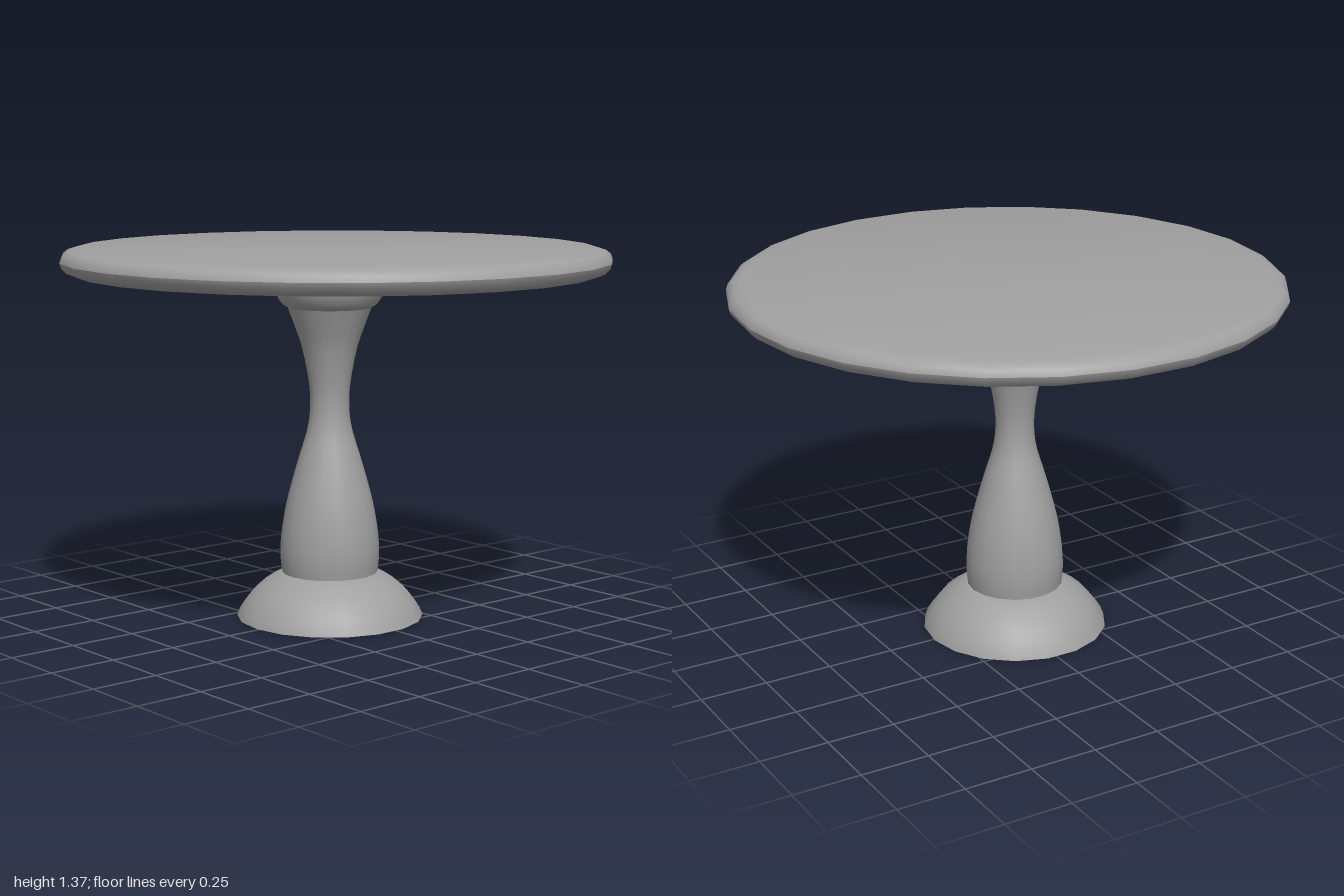
import * as THREE from 'three';
import { toCreasedNormals } from 'three/addons/utils/BufferGeometryUtils.js';

const material = new THREE.MeshStandardMaterial({ color: 0xa0a0a0 });

// Turned part from [radius, height] pairs, listed bottom to top
function turned(name, profile, sides) {
  const points = profile.map(([r, y]) => new THREE.Vector2(r, y));
  const lathe = new THREE.LatheGeometry(points, sides, Math.PI / 2);
  const mesh = new THREE.Mesh(toCreasedNormals(lathe, 0.62), material);
  mesh.name = name;
  return mesh;
}

export function createModel() {
  const table = new THREE.Group();
  table.name = 'pedestalTable';

  // Round top with a softened rim
  table.add(turned('tableTop', [
    [0, 1.273], [0.945, 1.273], [0.975, 1.284], [0.994, 1.303], [1, 1.321],
    [0.993, 1.342], [0.975, 1.356], [0.945, 1.365], [0, 1.365],
  ], 26));

  // Pedestal, standing slightly off the centre of the top
  const pedestal = new THREE.Group();
  pedestal.name = 'pedestal';
  pedestal.position.set(-0.024, 0, -0.009);
  table.add(pedestal);

  // Domed foot
  pedestal.add(turned('foot', [
    [0, 0], [0.345, 0], [0.333, 0.028], [0.315, 0.056], [0.289, 0.09],
    [0.252, 0.122], [0.215, 0.147], [0.177, 0.167], [0, 0.167],
  ], 18));

  // Waisted column, smoothed through a few radii
  const waist = new THREE.SplineCurve([
    [0.177, 0.165], [0.183, 0.23], [0.179, 0.31], [0.163, 0.41], [0.138, 0.51],
    [0.109, 0.61], [0.082, 0.7], [0.072, 0.78], [0.076, 0.87], [0.101, 1.0],
    [0.13, 1.085], [0.155, 1.152],
  ].map(([r, y]) => new THREE.Vector2(r, y)));
  pedestal.add(turned('column', waist.getPoints(28).map((p) => [p.x, p.y]), 18));

  // Cup-shaped collar under the top
  pedestal.add(turned('collar', [
    [0, 1.147], [0.155, 1.147], [0.171, 1.157], [0.185, 1.175], [0.196, 1.2],
    [0.205, 1.235], [0.212, 1.276],
  ], 18));

  return table;
}
